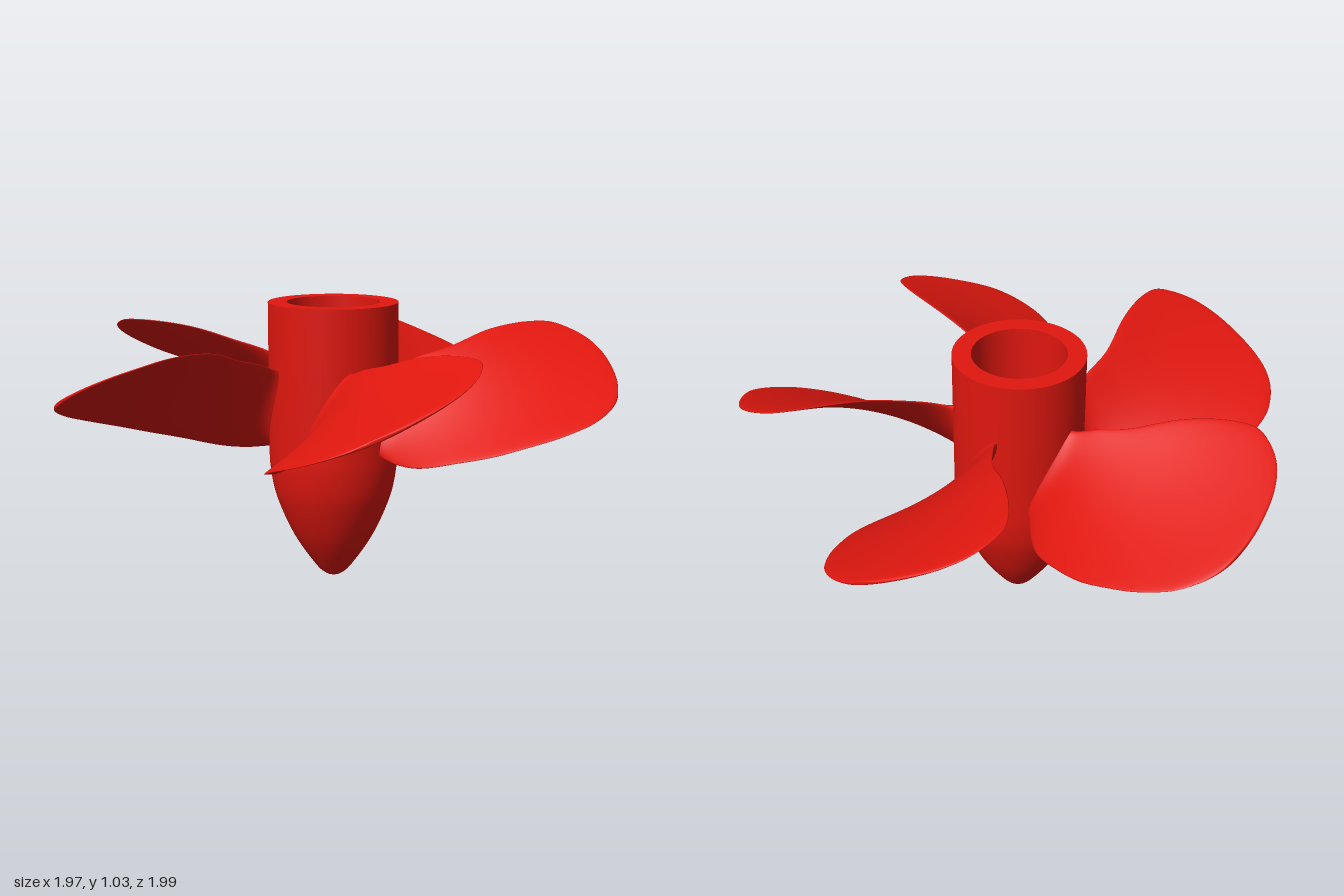
import * as THREE from 'three';
import { toCreasedNormals } from 'three/addons/utils/BufferGeometryUtils.js';
import { ParametricGeometry } from 'three/addons/geometries/ParametricGeometry.js';

const BLADES = 5;
const PITCH = -0.418;  // height change per radian around the hub
const MID_Y = 0.72;    // height of the blade surface at angle 0

// Blade edges in polar form: radius, angle in degrees around the hub
const edge = (pts) => new THREE.CatmullRomCurve3(pts.map(([r, a]) => new THREE.Vector3(r, THREE.MathUtils.degToRad(a), 0)));
const upperEdge = edge([[0.205, -12], [0.245, -12], [0.33, -16], [0.43, -19.5], [0.58, -26], [0.69, -28.5], [0.79, -29.3],
  [0.86, -28.7], [0.915, -26], [0.963, -22], [0.995, -17], [1.016, -11], [1.028, -6], [1.032, -1]]);
const lowerEdge = edge([[0.205, 31], [0.245, 31.5], [0.33, 33], [0.43, 32.5], [0.58, 27.5], [0.69, 23.5], [0.79, 18.8],
  [0.86, 15.5], [0.915, 12.5], [0.963, 9.5], [0.995, 6.5], [1.016, 3.8], [1.028, 1.2], [1.032, -1]]);

// Helical blade skin: u runs round the lens section, v from root to tip
function bladePoint(u, v, target) {
  const a = upperEdge.getPoint(v), b = lowerEdge.getPoint(v);
  const phase = u * Math.PI * 2;
  const { x: r, y: angle } = a.lerp(b, (1 - Math.cos(phase)) / 2);
  const fillet = 0.02 * Math.exp(-Math.max(r - 0.235, 0) / 0.025);
  const taper = Math.sqrt(Math.max(0, 1 - v ** 12));
  const h = (0.016 - 0.007 * v + fillet) * taper * Math.sin(phase);
  // offset along the normal of the helical surface
  const len = Math.hypot(r, PITCH);
  const up = h * r / len, side = -h * PITCH / len;
  const c = Math.cos(angle), s = Math.sin(angle);
  target.set(r * c - side * s, MID_Y + PITCH * angle + up, r * s + side * c);
}

// Bullet-nosed hub with a blind shaft bore
function hubGeometry() {
  const nose = new THREE.SplineCurve([[0, 0], [0.03, 0.007], [0.07, 0.045], [0.15, 0.165], [0.212, 0.31], [0.234, 0.42], [0.238, 0.5]]
    .map(([x, y]) => new THREE.Vector2(x, y))).getPoints(36);
  nose[0].x = 0;
  const bore = [[0.238, 1.035], [0.17, 1.035], [0.17, 0.5], [0, 0.5]].map(([x, y]) => new THREE.Vector2(x, y));
  return toCreasedNormals(new THREE.LatheGeometry([...nose, ...bore], 96), 0.6);
}

export function createModel() {
  const model = new THREE.Group();
  model.name = 'propeller';
  const red = new THREE.MeshStandardMaterial({ color: 0xe0170f });

  const hub = new THREE.Mesh(hubGeometry(), red);
  hub.name = 'hub';
  model.add(hub);

  const bladeGeometry = new ParametricGeometry(bladePoint, 48, 90);
  for (let i = 0; i < BLADES; i++) {
    const blade = new THREE.Mesh(bladeGeometry, red);
    blade.name = `blade${i + 1}`;
    blade.rotation.y = i * Math.PI * 2 / BLADES;
    model.add(blade);
  }

  // the shaft axis sits slightly off the centre of the bounds
  model.position.set(-0.045, 0, 0.01);
  return model;
}
